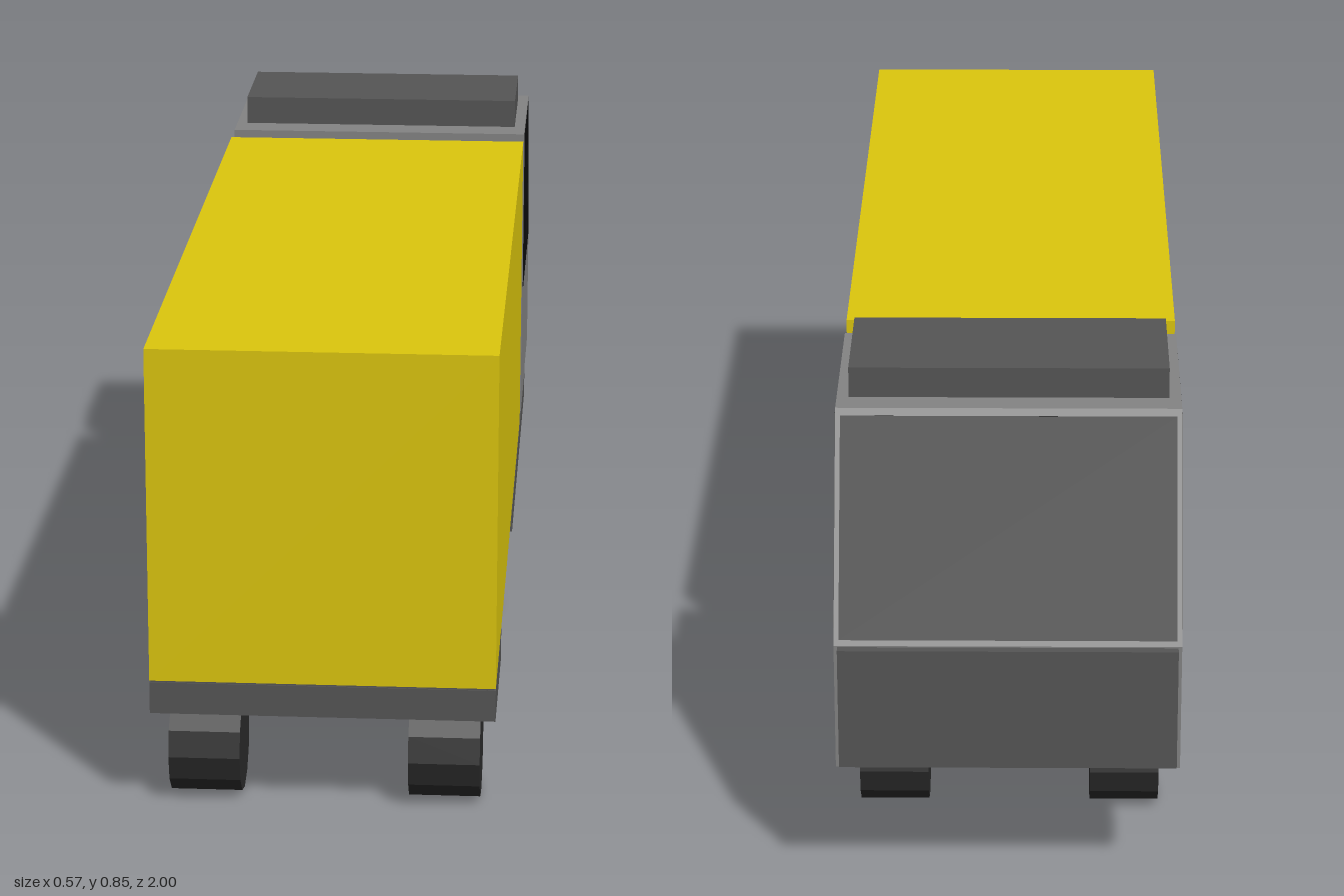
import * as THREE from 'three';

const paint = (color) => new THREE.MeshStandardMaterial({ color, flatShading: true });
const YELLOW = paint(0xdcc60d), CAB = paint(0x838383), DARK = paint(0x555555);
const GLASS = paint(0x0d0d0d), RUBBER = paint(0x2b2b2b);
const W = 0.283; // half width of the truck

export function createModel() {
  const truck = new THREE.Group();
  truck.name = 'boxTruck';

  function add(name, geometry, material) {
    const mesh = new THREE.Mesh(geometry, material);
    mesh.name = name;
    truck.add(mesh);
    return mesh;
  }

  // Box given by its limits along each axis
  function box(name, material, [x0, x1], [y0, y1], [z0, z1]) {
    const g = new THREE.BoxGeometry(x1 - x0, y1 - y0, z1 - z0);
    g.translate((x0 + x1) / 2, (y0 + y1) / 2, (z0 + z1) / 2);
    return add(name, g, material);
  }

  // Side profile of [z, y] points, extruded from x0 to x1
  function prism(name, material, points, x0, x1) {
    const shape = new THREE.Shape(points.map(([z, y]) => new THREE.Vector2(-z, y)));
    const g = new THREE.ExtrudeGeometry(shape, { depth: x1 - x0, bevelEnabled: false });
    g.rotateY(Math.PI / 2).translate(x0, 0, 0);
    return add(name, g, material);
  }

  // Cargo box and its floor
  box('cargoBox', YELLOW, [-W, W], [0.231, 0.797], [-0.417, 1]);
  box('cargoFloor', DARK, [-W + 0.002, W - 0.002], [0.228, 0.231], [-0.415, 0.998]);

  // Chassis plates
  box('rearChassis', DARK, [-W, W], [0.174, 0.228], [0.718, 1]);
  box('frontChassis', DARK, [-W, W], [0.174, 0.219], [-0.775, 0.077]);
  box('cabMount', CAB, [-W, W], [0.219, 0.231], [-0.775, -0.515]);

  // Cab with sloping front
  prism('cab', CAB, [
    [-0.477, 0.231], [-0.477, 0.797], [-0.808, 0.797], [-0.985, 0.452], [-0.985, 0.231],
  ], -W, W);
  box('frontPanel', DARK, [-W + 0.006, W - 0.006], [0.238, 0.45], [-1, -0.984]);
  box('roofFairing', DARK, [-0.263, 0.263], [0.797, 0.849], [-0.762, -0.537]);

  // Windscreen lying on the slope
  prism('windscreen', GLASS, [
    [-0.812, 0.785], [-0.815, 0.786], [-0.982, 0.461], [-0.979, 0.46],
  ], -W + 0.008, W - 0.008);

  // Side windows, both sides
  for (const side of [-1, 1]) {
    const x0 = side > 0 ? W - 0.002 : -W - 0.001;
    const x1 = x0 + 0.003;
    prism('doorWindow', GLASS, [
      [-0.527, 0.475], [-0.527, 0.787], [-0.767, 0.787], [-0.767, 0.475],
    ], x0, x1);
    prism('quarterWindow', GLASS, [
      [-0.79, 0.475], [-0.79, 0.787], [-0.804, 0.787], [-0.966, 0.475],
    ], x0, x1);
  }

  // Three pairs of wheels
  const wheel = new THREE.CylinderGeometry(0.085, 0.085, 0.118, 12).rotateZ(Math.PI / 2);
  for (const z of [0.888, 0.01, -0.644]) {
    for (const side of [-1, 1]) {
      add('wheel', wheel, RUBBER).position.set(side * 0.198, 0.085, z);
    }
  }
  return truck;
}
